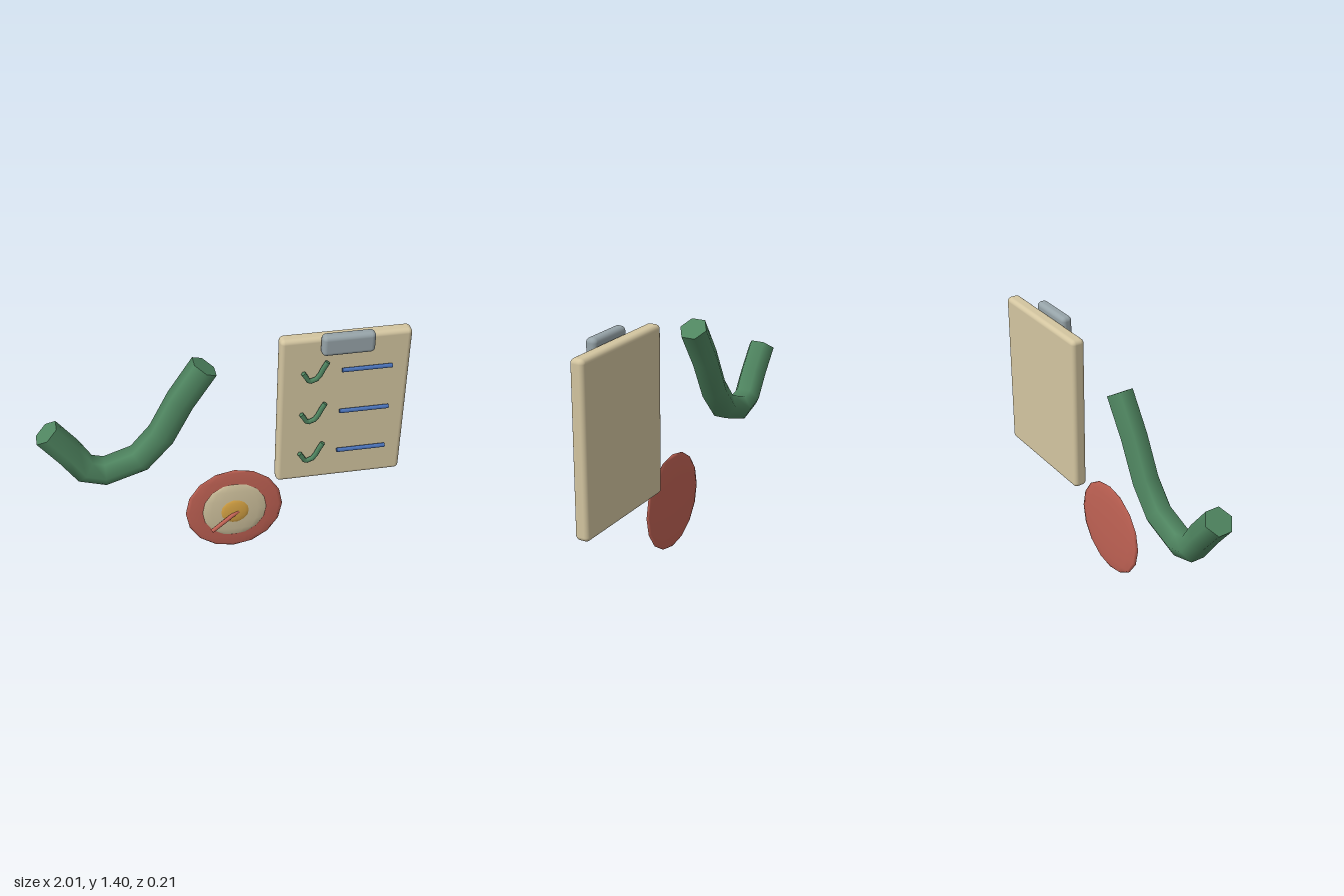
import * as THREE from 'three';
import { RoundedBoxGeometry } from 'three/addons/geometries/RoundedBoxGeometry.js';

const material = (name, color) => {
  const m = new THREE.MeshStandardMaterial({ color });
  m.name = name;
  return m;
};

export function createModel() {
  const green = material('green', 0x4f8560);
  const cream = material('cream', 0xd3c5a0);
  const grey = material('grey', 0x96a3a8);
  const blue = material('blue', 0x4a72b8);
  const red = material('red', 0xc06254);
  const yellow = material('yellow', 0xdba746);

  const model = new THREE.Group();
  const add = (parent, name, geometry, mat, x = 0, y = 0, z = 0) => {
    const mesh = new THREE.Mesh(geometry, mat);
    mesh.name = name;
    mesh.position.set(x, y, z);
    parent.add(mesh);
    return mesh;
  };

  // Check mark: a six-sided tube with a ring at every point and flat ends
  const tick = [[-0.953, 0.925], [-0.845, 0.785], [-0.765, 0.66], [-0.66, 0.628],
    [-0.47, 0.692], [-0.345, 0.835], [-0.237, 1.045], [-0.105, 1.245]];
  const addCheck = (parent, name, map, radius, z) => {
    const group = new THREE.Group();
    group.name = name;
    parent.add(group);
    const curve = new THREE.CatmullRomCurve3(tick.map(p => new THREE.Vector3(...map(p), z)));
    curve.getPointAt = curve.getPoint;
    curve.getTangentAt = curve.getTangent;
    add(group, 'checkStroke', new THREE.TubeGeometry(curve, tick.length - 1, radius, 6), green);
    for (const t of [0, 1]) {
      const out = curve.getTangent(t).multiplyScalar(t ? 1 : -1);
      const side = new THREE.Vector3(0, 0, 1);
      const cap = new THREE.CircleGeometry(radius, 6);
      cap.applyMatrix4(new THREE.Matrix4().makeBasis(side, out.clone().cross(side), out));
      const p = curve.getPoint(t);
      add(group, 'checkEnd', cap, green, p.x, p.y, p.z);
    }
  };

  // Rod between two points
  const addRod = (parent, name, from, to, radius, mat) => {
    const a = new THREE.Vector3(...from), b = new THREE.Vector3(...to);
    const dir = b.clone().sub(a);
    const rod = add(parent, name, new THREE.CylinderGeometry(radius, radius, dir.length(), 8), mat);
    rod.position.copy(a).add(b).multiplyScalar(0.5);
    rod.quaternion.setFromUnitVectors(new THREE.Vector3(0, 1, 0), dir.normalize());
  };

  addCheck(model, 'largeCheckMark', p => p, 0.08, -0.025);

  // Clipboard with three checked lines
  const clipboard = new THREE.Group();
  clipboard.name = 'clipboard';
  model.add(clipboard);
  add(clipboard, 'board', new RoundedBoxGeometry(0.71, 0.93, 0.08, 3, 0.025), cream, 0.645, 0.91, -0.021);
  add(clipboard, 'clip', new RoundedBoxGeometry(0.285, 0.12, 0.064, 3, 0.025), grey, 0.643, 1.35, 0.043);
  for (let i = 0; i < 3; i++) {
    const y = 1.177 - i * 0.267;
    addCheck(clipboard, 'smallCheckMark',
      ([px, py]) => [0.41 + (px + 0.953) * 0.153, y - 0.05 + (py - 0.628) * 0.18], 0.014, 0.04);
    addRod(clipboard, 'listLine', [0.622, y, 0.04], [0.895, y, 0.04], 0.012, blue);
  }

  // Target: three stacked flattened discs
  const target = new THREE.Group();
  target.name = 'target';
  model.add(target);
  const discs = [['outerRing', 0.278, 0.016, 0.017, red],
    ['middleRing', 0.19, 0.02, 0.025, cream],
    ['bullseye', 0.085, 0.014, 0.038, yellow]];
  for (const [name, r, depth, z, mat] of discs) {
    const disc = new THREE.SphereGeometry(1, 16, 8).scale(r, r, depth);
    add(target, name, disc, mat, 0.05, 0.285, z);
  }
  addRod(target, 'dart', [-0.092, 0.2, 0.095], [0.07, 0.284, 0.042], 0.012, red);

  return model;
}
